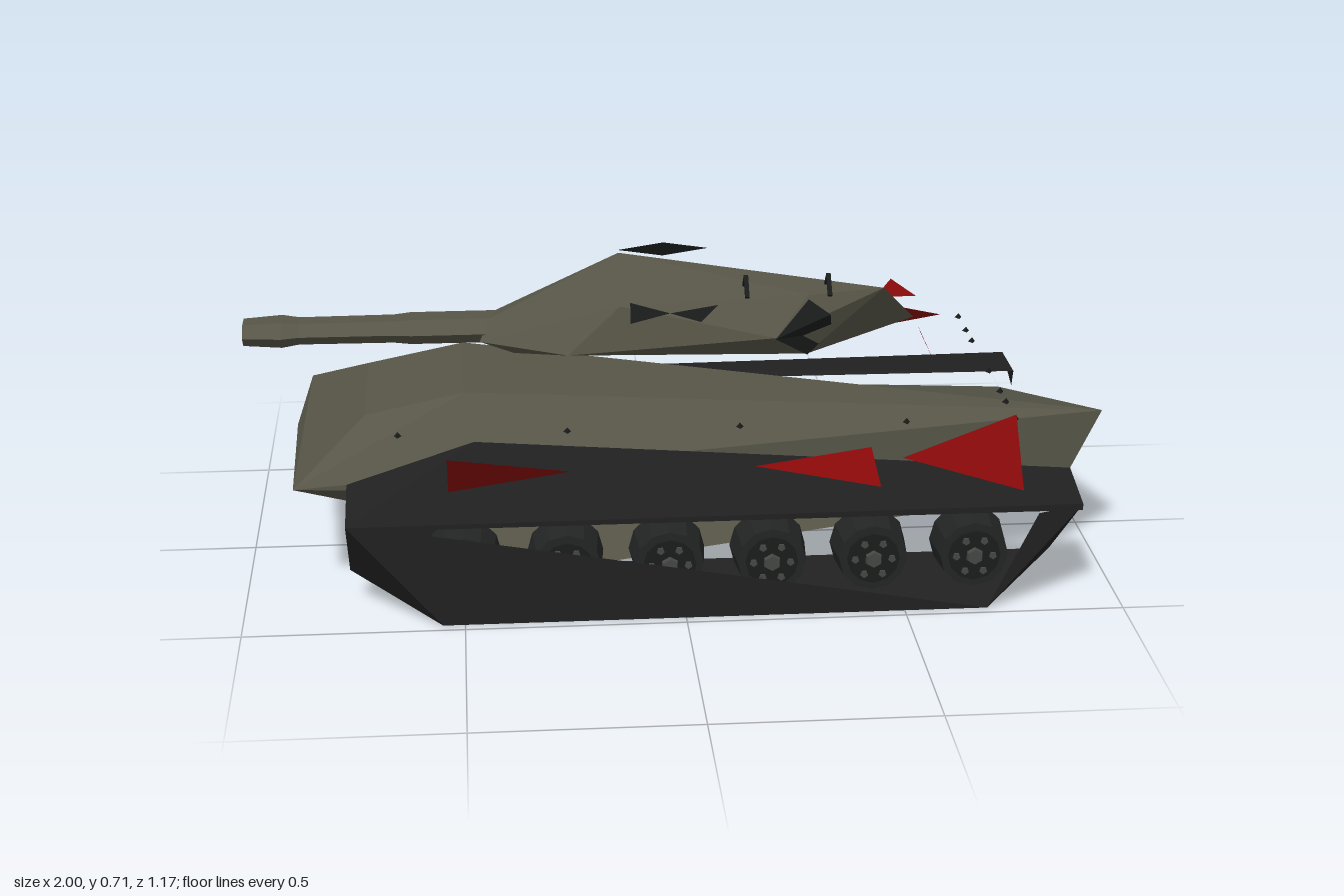
import * as THREE from 'three';
import { ConvexGeometry } from 'three/addons/geometries/ConvexGeometry.js';

const mat = (name, color) => {
  const m = new THREE.MeshStandardMaterial({ color, side: THREE.DoubleSide, flatShading: true });
  m.name = name;
  return m;
};

// Flat-faced shell from named points; faces are turned away from the centre
function shell(points, faces, centre = [0, 0.25, 0]) {
  const pos = [];
  const c = new THREE.Vector3(...centre);
  for (const face of faces) {
    const ids = face.split(' ');
    for (let i = 1; i < ids.length - 1; i++) {
      const tri = [ids[0], ids[i], ids[i + 1]].map(k => new THREE.Vector3(...points[k]));
      const n = new THREE.Vector3().crossVectors(
        tri[1].clone().sub(tri[0]), tri[2].clone().sub(tri[0]));
      if (n.dot(tri[0].clone().sub(c)) < 0) tri.reverse();
      tri.forEach(v => pos.push(v.x, v.y, v.z));
    }
  }
  const g = new THREE.BufferGeometry();
  g.setAttribute('position', new THREE.Float32BufferAttribute(pos, 3));
  g.computeVertexNormals();
  return g;
}

export function createModel() {
  const model = new THREE.Group();
  const olive = mat('olive paint', 0x565547);
  const trackDark = mat('track charcoal', 0x202021);
  const tyre = mat('wheel rubber', 0x232525);
  const hubGrey = mat('hub grey', 0x454744);
  const black = mat('black fittings', 0x1a1c1c);
  const red = mat('marker red', 0x8a090a);
  const add = (name, geo, material, parent = model) => {
    const m = new THREE.Mesh(geo, material);
    m.name = name;
    parent.add(m);
    return m;
  };

  // Hull: faceted wedge, nose toward -x, pinched above two low side flaps
  const hull = {
    A: [-0.88, 0.285, 0.34], B: [-0.87, 0.285, -0.42], C: [-0.9, 0.23, -0.22],
    T1: [-0.49, 0.45, 0.18], T2: [-0.49, 0.45, -0.17],
    U1: [-0.72, 0.4, 0.18], U2: [-0.72, 0.4, -0.18],
    E: [1, 0.37, 0.2], F: [0.9, 0.17, -0.515], G: [0.9, 0.17, 0.21], H: [0.9, 0.17, -0.21],
    K1: [-0.65, 0.175, 0.215], K2: [-0.65, 0.175, -0.215],
    L1: [-0.35, 0.04, 0.295], L2: [-0.35, 0.04, -0.295],
    I1: [-0.35, 0.125, 0.2], I2: [-0.35, 0.125, -0.2],
    M1: [-0.65, 0.165, 0], M2: [0.9, 0.165, 0],
  };
  add('hull', shell(hull, [
    'T1 T2 E', 'T2 B E', 'B F E', 'T1 E A', 'T1 T2 U2 U1', 'U1 U2 B A', 'T2 U2 B', 'T1 U1 A',
    'E F G', 'G H M2', 'A B C', 'A C K1', 'C K2 K1', 'C B K2', 'A E G', 'A G K1',
    'B F H', 'B H K2', 'K1 K2 M1', 'I1 G M2', 'I1 M2 M1', 'I1 M1 K1', 'I2 H M2', 'I2 M2 M1', 'I2 M1 K2',
  ]), olive);
  for (const n of [1, 2]) {
    const rear = n === 1 ? 'G' : 'H';
    add('sideFlap', shell(hull, [`K${n} L${n} ${rear}`, `K${n} I${n} L${n}`, `I${n} ${rear} L${n}`]), olive);
  }

  // Turret: faceted convex block
  const turretPoints = [
    [-0.12, 0.71, -0.035], [-0.38, 0.485, -0.205], [0.58, 0.545, 0], [0.48, 0.675, 0.17],
    [0.3, 0.675, 0.21], [0.22, 0.59, 0.26], [0.3, 0.53, 0.2], [-0.45, 0.53, 0.06],
    [-0.43, 0.575, 0.03], [-0.37, 0.49, 0.03], [-0.13, 0.655, 0.2], [-0.25, 0.54, 0.2],
    [-0.42, 0.57, -0.04],
  ].map(p => new THREE.Vector3(...p));
  add('turret', new ConvexGeometry(turretPoints), olive);

  // Dark panel wrapped on the rear left corner of the turret
  add('cornerPanel', shell({
    a: [0.22, 0.59, 0.268], b: [0.3, 0.668, 0.22], c: [0.35, 0.632, 0.226],
    d: [0.36, 0.575, 0.18], e: [0.3, 0.53, 0.208],
  }, ['a b c', 'a c d', 'a d e'], [0.1, 0.6, 0]), black);

  // Gun barrel with thicker sleeve and muzzle, wider than tall
  const barrel = new THREE.LatheGeometry([
    [0, 0], [0.034, 0], [0.034, 0.2], [0.03, 0.24], [0.029, 0.46], [0.035, 0.5], [0.029, 0.59], [0, 0.59],
  ].map(p => new THREE.Vector2(...p)), 6);
  barrel.scale(1, 1, 1.75).rotateZ(Math.PI / 2).translate(-0.41, 0.547, -0.003);
  add('gunBarrel', barrel, olive);

  // Tracks: the left one is closed outside, the right one is lower and open
  for (const s of [1, -1]) {
    const left = s > 0;
    const side = new THREE.Group();
    side.name = left ? 'leftTrack' : 'rightTrack';
    model.add(side);
    const o = s * 0.475, i = s * 0.33;
    const p = {
      P0: [-0.76, 0.08, left ? i : -0.38], P1: [-0.76, 0.245, o],
      Q1: left ? [-0.76, 0.29, i] : [-0.76, 0.25, -0.43],
      W: [-0.66, 0.235, o], X: left ? [-0.47, 0.405, 0.38] : [-0.47, 0.28, -0.44],
      R1: [0.9, left ? 0.25 : 0.28, o], S1: [0.9, 0.28, i], N: [0.92, 0.2, s * 0.44],
      S2: [0.86, 0.08, i], B0: [-0.55, 0, o], B1: [0.69, 0, o],
      D: [0.8, 0.23, o], V: [-0.38, 0.2, i], Y: [0.9, 0.235, o],
    };
    const centre = [0, 0.17, s * 0.4];
    add('skirt', shell(p, ['P1 X R1', 'P1 Q1 X', 'X Q1 S1', 'X R1 S1', 'P1 R1 Y W', 'W Y S1 Q1'], centre),
      trackDark, side);
    add('noseWedge', shell(p, ['P1 W B0', 'P1 B0 P0', 'P1 P0 Q1'], centre), trackDark, side);
    if (left) {
      add('trackRun', shell(p, ['W B0 B1', 'B0 B1 S2 P0', 'B1 R1 S2', 'R1 S1 S2', 'D R1 B1', 'Q1 P0 V'],
        centre), trackDark, side);
    } else {
      add('skirtEnd', shell(p, ['R1 S1 N'], centre), trackDark, side);
    }

    // Road wheels with hub and a ring of bolts
    for (let k = 0; k < 6; k++) {
      const wheel = new THREE.Group();
      wheel.name = 'roadWheel';
      wheel.position.set(0.66 - 0.232 * k, 0.122, s * 0.4);
      wheel.rotation.x = s * Math.PI / 2;
      side.add(wheel);
      add('tyre', new THREE.CylinderGeometry(0.078, 0.087, 0.1, 12), tyre, wheel);
      add('rim', new THREE.CylinderGeometry(0.06, 0.06, 0.006, 12), black, wheel).position.y = 0.052;
      add('hub', new THREE.CylinderGeometry(0.018, 0.022, 0.014, 6), hubGrey, wheel).position.y = 0.058;
      for (let b = 0; b < 6; b++) {
        const a = b * Math.PI / 3;
        add('bolt', new THREE.CylinderGeometry(0.009, 0.009, 0.006, 5), hubGrey, wheel)
          .position.set(0.042 * Math.cos(a), 0.057, 0.042 * Math.sin(a));
      }
    }
  }

  // Loose red triangular markers around the flanks and turret rear
  const markers = [
    [[-0.53, 0.43, 0.55], [-0.53, 0.31, 0.44], [-0.26, 0.375, 0.5]],
    [[0.42, 0.385, 0.43], [0.42, 0.35, 0.58], [0.15, 0.375, 0.5]],
    [[0.74, 0.465, 0.46], [0.75, 0.31, 0.53], [0.48, 0.385, 0.5]],
    [[-0.53, 0.37, -0.59], [-0.51, 0.39, -0.42], [-0.26, 0.375, -0.51]],
    [[0.42, 0.47, -0.5], [0.41, 0.29, -0.53], [0.16, 0.375, -0.51]],
    [[0.49, 0.445, -0.46], [0.49, 0.31, -0.57], [0.74, 0.375, -0.51]],
    [[0.55, 0.6, 0.275], [0.59, 0.515, 0.275], [0.57, 0.565, 0.13]],
    [[0.51, 0.55, -0.14], [0.61, 0.55, -0.14], [0.57, 0.55, -0.28]],
  ];
  markers.forEach(([a, b, c]) => add('redMarker', shell({ a, b, c }, ['a b c']), red));

  // Thin dark plates beside the turret
  const plates = [
    [[-0.11, 0.68, 0.25], [-0.11, 0.635, 0.265], [-0.02, 0.655, 0.257]],
    [[0.09, 0.67, 0.25], [0.05, 0.635, 0.265], [-0.02, 0.655, 0.257]],
    [[-0.11, 0.655, -0.234], [0, 0.675, -0.223], [0.11, 0.655, -0.234]],
    [[-0.11, 0.655, -0.234], [0, 0.635, -0.245], [0.11, 0.655, -0.234]],
  ];
  plates.forEach(([a, b, c]) => add('sidePlate', shell({ a, b, c }, ['a b c']), black));

  // Bent roof handles
  for (const x of [0.16, 0.35]) {
    for (const d of [-1, 1]) {
      const bar = add('roofHandle', new THREE.BoxGeometry(0.01, 0.055, 0.008), black);
      bar.position.set(x, 0.692, 0.175 + d * 0.017);
      bar.rotation.x = -d * 0.75;
    }
  }

  // Tiny studs along the deck edges
  const stud = (x, z) => add('deckStud', new THREE.ConeGeometry(0.01, 0.012, 3), black).position.set(x, 0.42, z);
  for (const x of [-0.64, -0.26, 0.13, 0.51, 0.76]) for (const z of [-0.365, 0.36]) stud(x, z);
  for (const z of [-0.26, -0.18, 0.04, 0.18, 0.25]) stud(0.76, z);

  return model;
}
